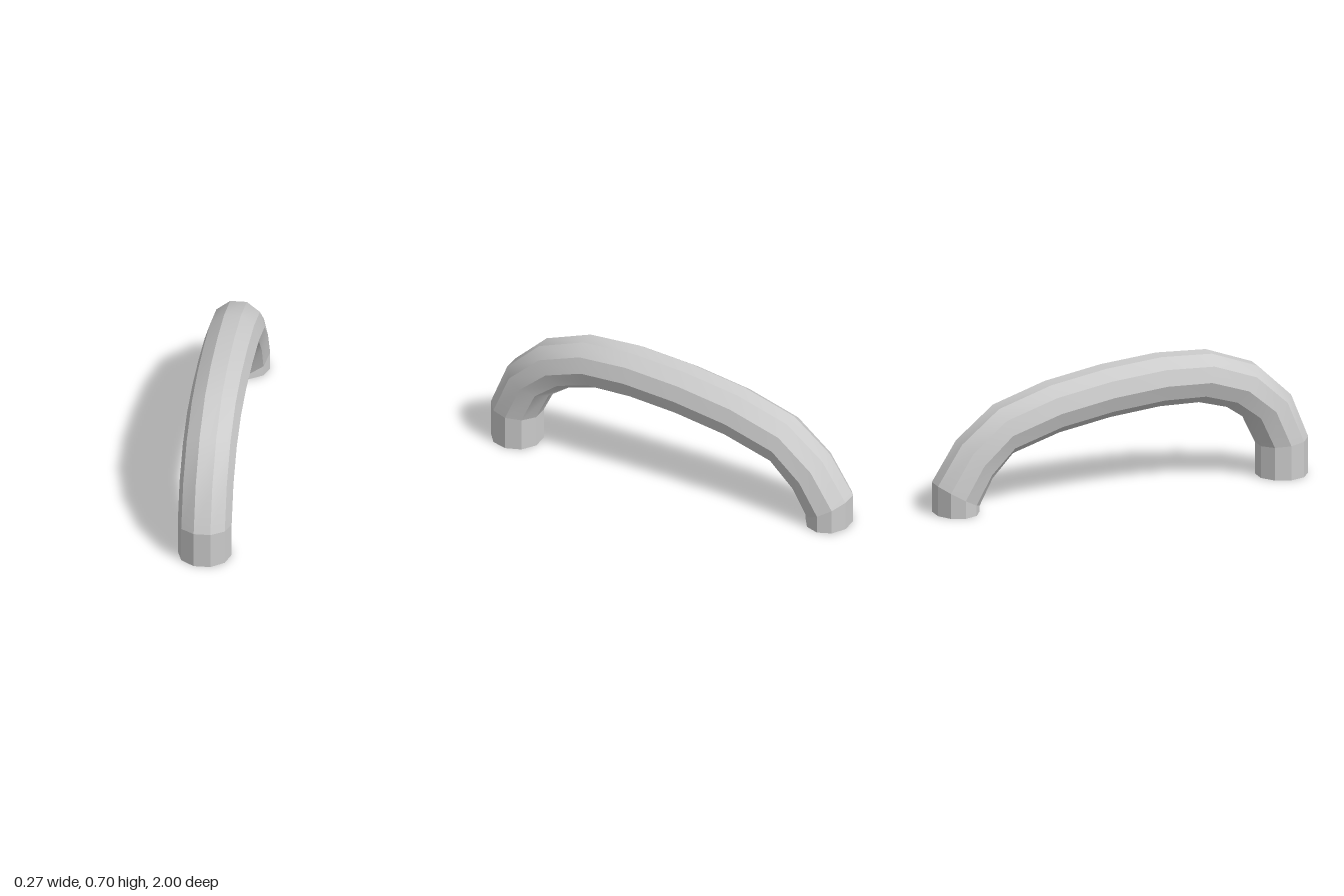
import * as THREE from 'three';

const SIDES = 10;
const HALF_WIDTH = 0.136;
const RISE = Math.sin(Math.PI * 0.4); // height of the decagon's flat, relative to its radius

// Rings along the handle: outer z, outer y, inner z, inner y
const RINGS = [
  [1, 0, 0.745, 0],
  [1, 0.19, 0.745, 0.167],
  [0.908, 0.42, 0.674, 0.315],
  [0.728, 0.592, 0.56, 0.395],
  [0.48, 0.684, 0.41, 0.437],
  [0.21, 0.697, 0.2, 0.44],
  [-0.09, 0.67, -0.07, 0.414],
  [-0.39, 0.617, -0.345, 0.365],
  [-0.67, 0.525, -0.595, 0.285],
  [-0.87, 0.36, -0.705, 0.165],
  [-1, 0.155, -0.775, 0.03],
  [-1, 0, -0.775, 0],
];

// Corner k of the ten-sided section at a ring
function corner([oz, oy, iz, iy], k) {
  const a = (k / SIDES) * Math.PI * 2;
  const s = Math.sin(a) / RISE / 2;
  return [
    HALF_WIDTH * Math.cos(a),
    (oy + iy) / 2 + (oy - iy) * s,
    (oz + iz) / 2 + (oz - iz) * s,
  ];
}

function makeMesh(name, positions, index, material) {
  const geometry = new THREE.BufferGeometry();
  geometry.setAttribute('position', new THREE.Float32BufferAttribute(positions, 3));
  geometry.setIndex(index);
  geometry.computeVertexNormals();
  const mesh = new THREE.Mesh(geometry, material);
  mesh.name = name;
  return mesh;
}

// Section between two rings: smooth along its length, sharp between the sides
function tubeSection(name, from, to, material) {
  const positions = [], index = [];
  for (let k = 0; k < SIDES; k++) {
    for (let i = from; i <= to; i++) {
      const n = positions.length / 3;
      positions.push(...corner(RINGS[i], k), ...corner(RINGS[i], k + 1));
      if (i < to) index.push(n, n + 2, n + 1, n + 1, n + 2, n + 3);
    }
  }
  return makeMesh(name, positions, index, material);
}

// Flat end face
function endCap(name, ring, flip, material) {
  const positions = [], index = [];
  for (let k = 0; k < SIDES; k++) positions.push(...corner(ring, k));
  for (let k = 1; k < SIDES - 1; k++) index.push(0, ...(flip ? [k + 1, k] : [k, k + 1]));
  return makeMesh(name, positions, index, material);
}

export function createModel() {
  const material = new THREE.MeshStandardMaterial({ color: 0xcccccc });
  const last = RINGS.length - 1;
  const handle = new THREE.Group();
  handle.name = 'archedHandle';
  handle.add(
    tubeSection('frontFoot', 0, 1, material),
    tubeSection('arch', 1, last - 1, material),
    tubeSection('backFoot', last - 1, last, material),
    endCap('frontFootBase', RINGS[0], false, material),
    endCap('backFootBase', RINGS[last], true, material),
  );
  return handle;
}
